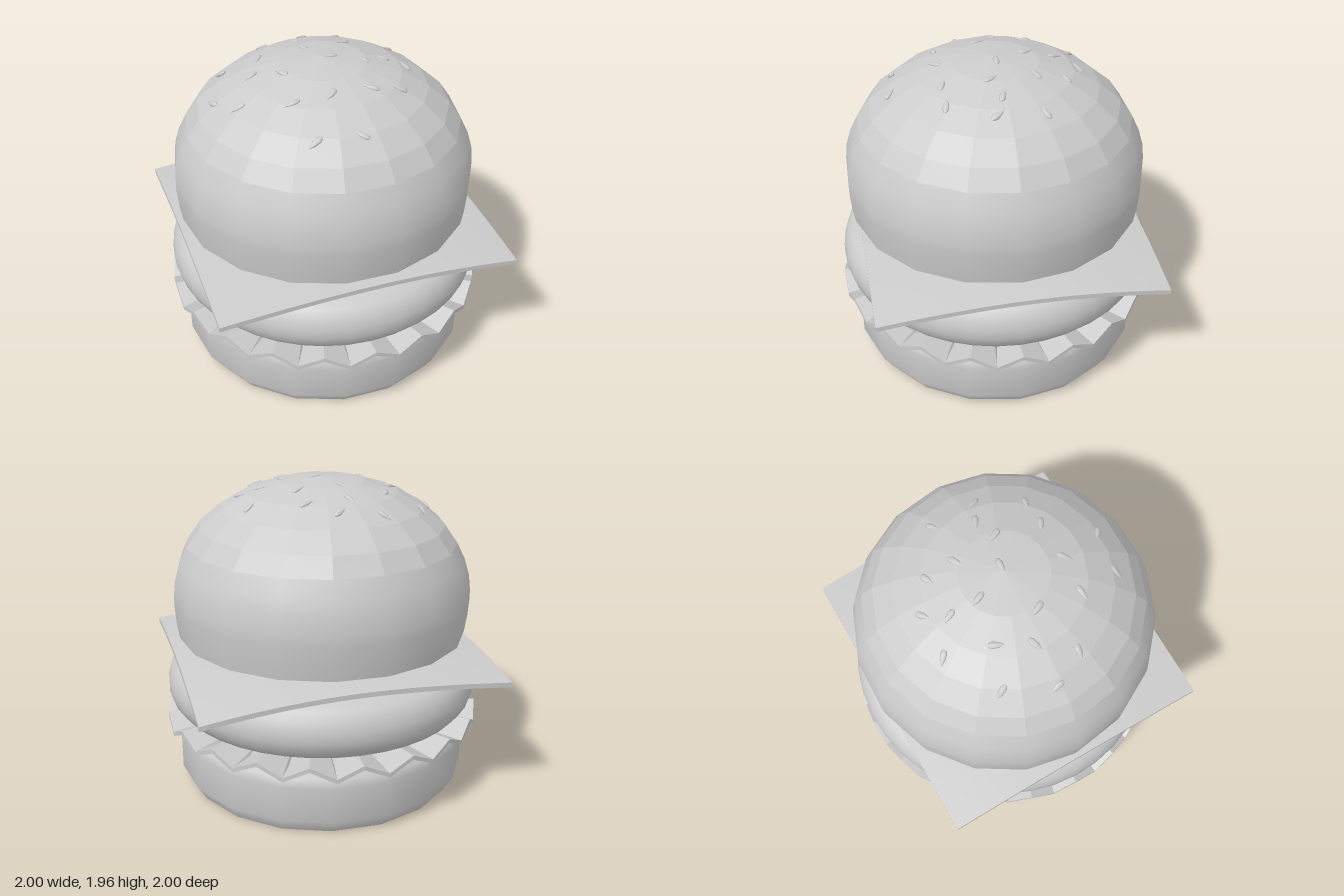
import * as THREE from 'three';

const V2 = (pts) => pts.map(([x, y]) => new THREE.Vector2(x, y));

export function createModel() {
  const burger = new THREE.Group();
  burger.name = 'burger';
  const smooth = new THREE.MeshStandardMaterial({ color: 0xcccccc });
  const flat = new THREE.MeshStandardMaterial({ color: 0xcccccc, flatShading: true });

  const add = (name, geometry, material = smooth, parent = burger) => {
    const mesh = new THREE.Mesh(geometry, material);
    mesh.name = name;
    parent.add(mesh);
    return mesh;
  };
  // Profiles run from the bottom upwards; a corner of the polygon lies on the x axis
  const lathe = (name, pts, sides, material, parent) =>
    add(name, new THREE.LatheGeometry(V2(pts), sides, Math.PI / 2), material, parent);

  // Bottom bun
  lathe('bottomBunBase', [[0, 0], [0.87, 0]], 18);
  lathe('bottomBun', [[0.87, 0], [0.925, 0.09], [0.925, 0.31], [0.91, 0.36], [0.87, 0.405], [0.8, 0.425], [0, 0.43]], 18);

  // Lettuce: a thin ring folded into 20 radial pleats
  const leaf = new THREE.LatheGeometry(
    V2([[0.3, 0.39], [1, 0.39], [1, 0.417], [0.3, 0.417], [0.3, 0.39]]), 40);
  const lp = leaf.attributes.position;
  for (let i = 0; i < lp.count; i++) {
    const step = Math.round(Math.atan2(lp.getX(i), lp.getZ(i)) / (Math.PI / 20));
    if (step % 2 === 0) lp.setY(i, lp.getY(i) + 0.075);
  }
  leaf.computeVertexNormals();
  add('lettuce', leaf, flat);

  // Patty
  lathe('patty', [[0, 0.45], [0.7, 0.455], [0.84, 0.475], [0.92, 0.515], [0.965, 0.57], [0.983, 0.63],
    [0.983, 0.69], [0.965, 0.755], [0.925, 0.805], [0.86, 0.84], [0.76, 0.86], [0, 0.87]], 40);

  // Cheese: a thin square draped down towards its corners
  const slice = new THREE.BoxGeometry(1.866, 0.03, 1.74, 24, 1, 24);
  const cp = slice.attributes.position;
  for (let i = 0; i < cp.count; i++) {
    const x = cp.getX(i), z = cp.getZ(i);
    const t = Math.max(0, (Math.hypot(x, z) - 0.5) / 0.8);
    cp.setY(i, cp.getY(i) + 0.91 - 0.1 * Math.pow(t, 1.3) + t * (0.015 * z - 0.02 * x));
  }
  slice.computeVertexNormals();
  const cheese = add('cheese', slice);
  cheese.rotation.y = 0.03;
  cheese.position.x = 0.005;

  // Two overlapping tomato slices under the top bun
  for (const [name, x] of [['tomatoLeft', 0.185], ['tomatoRight', -0.16]]) {
    add(name, new THREE.CylinderGeometry(0.6, 0.6, 0.08, 32)).position.set(x, 0.95, 0);
  }

  // Top bun: smooth sides below a faceted crown
  const crown = [[0.838, 1.55], [0.76, 1.66], [0.63, 1.77], [0.47, 1.86], [0.26, 1.925], [0, 1.955]];
  const topBun = new THREE.Group();
  topBun.name = 'topBun';
  burger.add(topBun);
  lathe('topBunBase', [[0, 0.98], [0.907, 0.98]], 18, smooth, topBun);
  lathe('topBunSide', [[0.907, 0.98], [0.922, 1.08], [0.93, 1.19], [0.93, 1.25], [0.918, 1.35],
    [0.887, 1.45], [0.838, 1.55]], 18, smooth, topBun);
  lathe('topBunCrown', crown, 18, flat, topBun);
  topBun.position.x = -0.004;

  // Sesame seeds: x, z and heading in degrees seen from above
  const seeds = [
    [-0.24, -0.51, -45], [0.02, -0.5, 40], [-0.07, -0.38, -65], [0.19, -0.385, 25], [-0.55, -0.315, -55],
    [-0.335, -0.23, 65], [-0.07, -0.2, -65], [0.195, -0.205, 30], [0.485, -0.205, 30], [-0.665, -0.03, -70],
    [-0.43, -0.04, 25], [0.04, 0, 0], [0.365, 0.015, -20], [0.225, 0.06, -60], [0.495, 0.065, -55],
    [-0.27, 0.06, -60], [-0.56, 0.165, 0], [-0.29, 0.335, 10], [-0.065, 0.35, 45], [0.18, 0.335, -25],
    [0.355, 0.335, -15], [-0.24, 0.6, 25], [0.02, 0.625, -40],
  ];
  // Teardrop lying along x, flattened in y
  const seedShape = new THREE.LatheGeometry(
    V2([[0, -0.05], [0.014, -0.042], [0.02, -0.022], [0.016, 0.012], [0, 0.052]]), 8);
  seedShape.rotateZ(Math.PI / 2).scale(1, 0.6, 1);
  const up = new THREE.Vector3(0, 1, 0);
  for (const [x, z, heading] of seeds) {
    // Height and slope of the crown below the seed
    const r = Math.hypot(x, z);
    const k = crown.findIndex(([cr], i) => i > 0 && cr <= r);
    const [r0, y0] = crown[k - 1], [r1, y1] = crown[k];
    const slope = (y1 - y0) / (r0 - r1);
    const normal = new THREE.Vector3((x / r) * slope, 1, (z / r) * slope).normalize();
    const seed = add('sesameSeed', seedShape, smooth, topBun);
    seed.position.set(x, y0 + slope * (r0 - r), z);
    seed.quaternion.setFromUnitVectors(up, normal)
      .multiply(new THREE.Quaternion().setFromAxisAngle(up, THREE.MathUtils.degToRad(heading)));
  }
  return burger;
}
